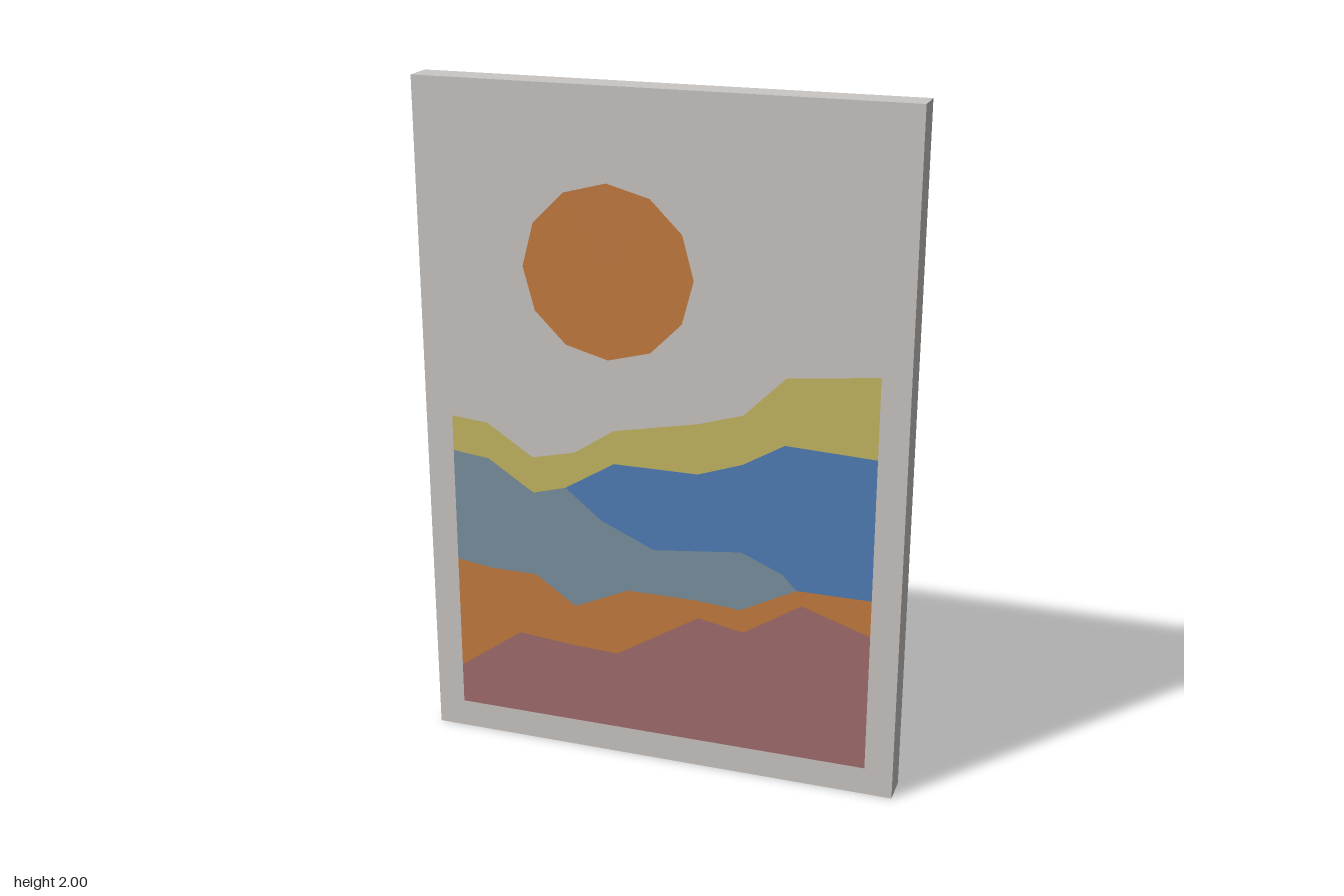
import * as THREE from 'three';

const mat = (name, color) => {
  const m = new THREE.MeshStandardMaterial({ color });
  m.name = name;
  return m;
};

export function createModel() {
  const group = new THREE.Group();
  group.name = 'wallPicture';

  const canvasGrey = mat('canvas grey', 0xcbc7c4);
  const orange = mat('orange', 0xc87d40);
  const yellow = mat('yellow', 0xc8b864);
  const blue = mat('blue', 0x5080b8);
  const slate = mat('slate blue', 0x7a92a2);
  const rose = mat('dusty rose', 0xa46e6e);

  const depth = 0.09;
  const paintZ = depth / 2 + 0.002;

  const add = (name, geometry, material, x, y, z) => {
    const mesh = new THREE.Mesh(geometry, material);
    mesh.name = name;
    mesh.position.set(x, y, z);
    group.add(mesh);
  };

  // Painted area between an upper and a lower outline, both left to right
  const band = (name, upper, lower, material) => {
    const outline = [...upper, ...[...lower].reverse()].map(([x, y]) => new THREE.Vector2(x, y));
    add(name, new THREE.ShapeGeometry(new THREE.Shape(outline)), material, 0, 0, paintZ);
  };

  // Canvas block
  add('canvas', new THREE.BoxGeometry(1.425, 2, depth), canvasGrey, 0, 1, 0);

  // Twelve-sided sun
  add('sun', new THREE.CircleGeometry(0.25, 12), orange, -0.145, 1.488, paintZ);

  // Shared ridge lines of the landscape
  const skyline = [[-0.63, 1.02], [-0.52, 1.01], [-0.38, 0.92], [-0.25, 0.95], [-0.13, 1.03],
    [0.12, 1.08], [0.25, 1.12], [0.37, 1.24], [0.63, 1.27]];
  const slateTop = [[-0.63, 0.912], [-0.52, 0.9], [-0.38, 0.81], [-0.28, 0.838]];
  const blueTop = [[-0.28, 0.838], [-0.13, 0.93], [0.12, 0.93], [0.25, 0.975], [0.37, 1.046], [0.63, 1.035]];
  const blueBase = [[-0.28, 0.838], [-0.17, 0.75], [-0.01, 0.68], [0.25, 0.71], [0.37, 0.66], [0.415, 0.615]];
  const slateBase = [[-0.63, 0.565], [-0.52, 0.55], [-0.38, 0.55], [-0.255, 0.465], [-0.09, 0.54],
    [0.12, 0.54], [0.25, 0.53], [0.415, 0.615]];
  const roseTop = [[-0.63, 0.21], [-0.435, 0.35], [-0.25, 0.335], [-0.125, 0.33], [0.125, 0.485],
    [0.26, 0.46], [0.43, 0.57], [0.63, 0.505]];
  const rightShore = [0.63, 0.615];

  // Hills and water from back to front
  band('farHills', skyline, [...slateTop, ...blueTop.slice(1)], yellow);
  band('lake', blueTop, [...blueBase.slice(1), rightShore], blue);
  band('middleHills', [...slateTop, ...blueBase.slice(1)], slateBase.slice(0, -1), slate);
  band('nearHills', [...slateBase, rightShore], roseTop, orange);
  band('foreground', roseTop, [[-0.63, 0.085], [0.63, 0.085]], rose);

  return group;
}
